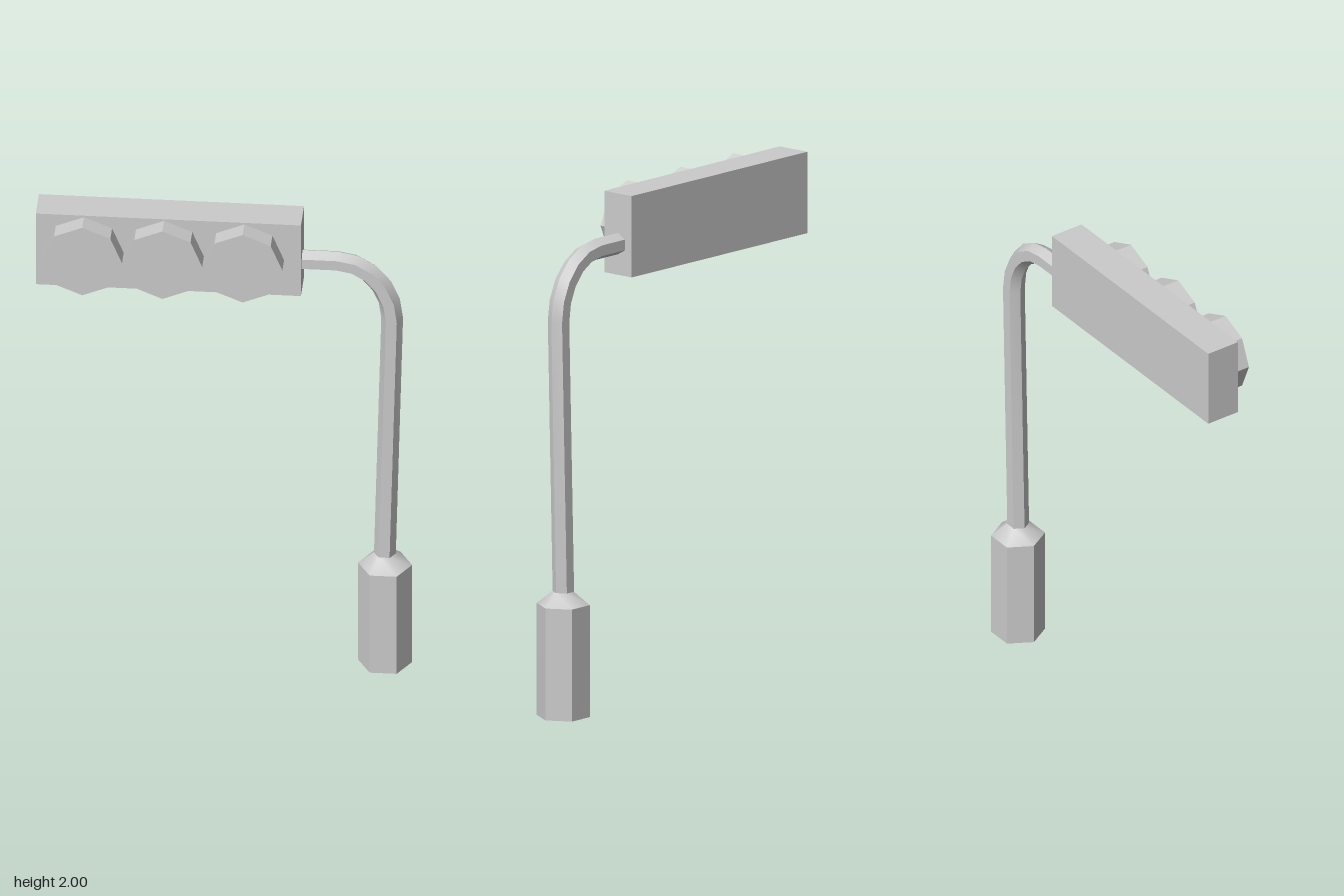
import * as THREE from 'three';
import { toCreasedNormals } from 'three/addons/utils/BufferGeometryUtils.js';

const CREASE = 0.75;
const DEPTH = -0.03; // z of the pole axis
const material = new THREE.MeshStandardMaterial({ color: 0xcccccc });
const openMaterial = new THREE.MeshStandardMaterial({ color: 0xcccccc, side: THREE.DoubleSide });

function addPart(group, name, geometry, mat, x, y, z) {
  const mesh = new THREE.Mesh(geometry, mat);
  mesh.name = name;
  mesh.position.set(x, y, z);
  group.add(mesh);
  return mesh;
}

// Hexagonal pipe along a path in the xy plane, mitred at every bend
function hexPipe(path, radius) {
  const sides = 6, positions = [], index = [];
  path.forEach((p, i) => {
    const before = p.clone().sub(path[Math.max(i - 1, 0)]).normalize();
    const after = path[Math.min(i + 1, path.length - 1)].clone().sub(p).normalize();
    const t = before.add(after).normalize();
    for (let j = 0; j < sides; j++) {
      const a = (j / sides) * Math.PI * 2;
      const c = radius * Math.cos(a);
      positions.push(p.x + t.y * c, p.y - t.x * c, radius * Math.sin(a));
      if (i === path.length - 1) continue;
      const k = (j + 1) % sides;
      const A = i * sides + j, B = i * sides + k;
      index.push(A, A + sides, B + sides, A, B + sides, B);
    }
  });
  const geometry = new THREE.BufferGeometry();
  geometry.setAttribute('position', new THREE.Float32BufferAttribute(positions, 3));
  geometry.setIndex(index);
  return toCreasedNormals(geometry, CREASE);
}

export function createModel() {
  const group = new THREE.Group();
  group.name = 'trafficLight';

  // Hexagonal base with a sloped collar and a hole underneath
  const profile = [[0.042, 0], [0.104, 0], [0.104, 0.44], [0.042, 0.49]]
    .map(([r, y]) => new THREE.Vector2(r, y));
  const base = new THREE.LatheGeometry(profile, 6, Math.PI / 2);
  addPart(group, 'base', toCreasedNormals(base, CREASE), openMaterial, 0.616, 0, DEPTH);

  // Leaning pole that bends over into a short horizontal arm
  const path = [new THREE.Vector2(0.615, 0.485)];
  const bend = 5;
  for (let i = 0; i <= bend; i++) {
    const a = (i / bend) * Math.PI / 2;
    path.push(new THREE.Vector2(0.43 + 0.213 * Math.cos(a), 1.555 + 0.248 * Math.sin(a)));
  }
  path.push(new THREE.Vector2(0.28, 1.803));
  addPart(group, 'pole', hexPipe(path, 0.042), openMaterial, 0, 0, DEPTH);

  // Signal housing
  addPart(group, 'housing', new THREE.BoxGeometry(1.02, 0.32, 0.14), material, -0.212, 1.84, -0.03);

  // Three octagonal lamps in a row
  const lamp = toCreasedNormals(new THREE.CylinderGeometry(0.153, 0.153, 0.09, 8).rotateX(Math.PI / 2), 0.5);
  ['lampRight', 'lampMiddle', 'lampLeft'].forEach((name, i) => {
    addPart(group, name, lamp, material, -0.537 + i * 0.3085, 1.84, 0.071);
  });

  return group;
}
